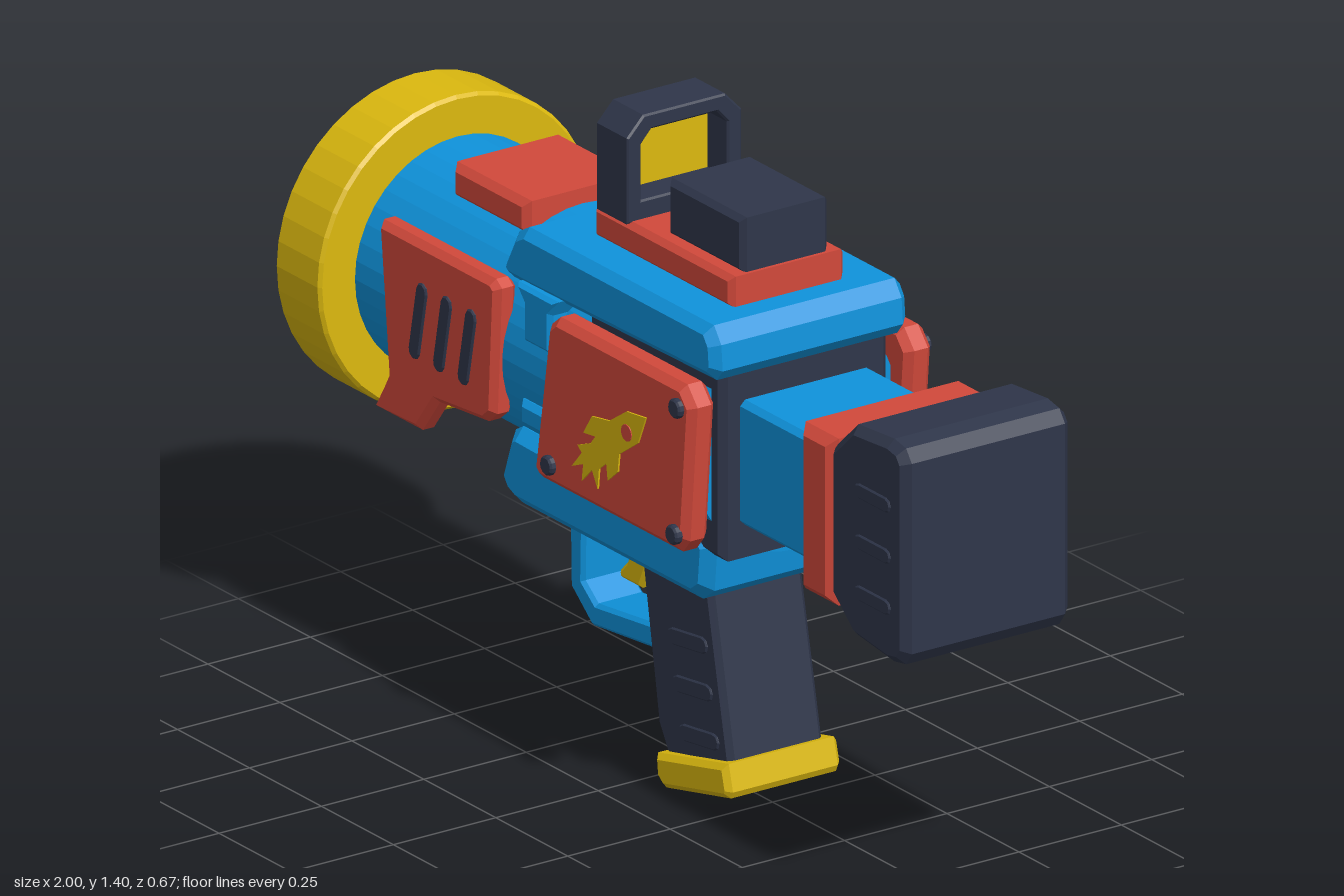
import * as THREE from 'three';

const mat = (name, color) => {
  const m = new THREE.MeshStandardMaterial({ color, flatShading: true });
  m.name = name;
  return m;
};

export function createModel() {
  const blue = mat('blue', 0x0f93dc);
  const red = mat('red', 0xd2493b);
  const yellow = mat('yellow', 0xdcb90f);
  const dark = mat('dark slate', 0x2f364a);
  const model = new THREE.Group();
  model.name = 'toyLauncher';
  const AXIS = 0.822; // height of the barrel axis

  const add = (name, geometry, material) => {
    const mesh = new THREE.Mesh(geometry, material);
    mesh.name = name;
    model.add(mesh);
    return mesh;
  };
  const toShape = pts => new THREE.Shape(pts.map(p => new THREE.Vector2(p[0], p[1])));

  // Side profile (x, y) extruded from z0 to z1 with chamfered edges kept inside the outline
  const slab = (name, pts, z0, z1, material, bevel = 0.015, hole) => {
    const shape = toShape(pts);
    if (hole) shape.holes.push(new THREE.Path(hole.map(p => new THREE.Vector2(p[0], p[1]))));
    const g = new THREE.ExtrudeGeometry(shape, {
      depth: z1 - z0 - 2 * bevel, bevelEnabled: bevel > 0, bevelThickness: bevel,
      bevelSize: bevel, bevelOffset: -bevel, bevelSegments: 1, curveSegments: 8,
    });
    g.translate(0, 0, z0 + bevel);
    return add(name, g, material);
  };
  // The same slab on the left and right faces
  const pair = (name, pts, z0, z1, material, bevel) => {
    slab(name + 'Front', pts, z0, z1, material, bevel);
    slab(name + 'Back', pts, -z1, -z0, material, bevel);
  };
  const rect = (x0, x1, y0, y1) => [[x0, y0], [x1, y0], [x1, y1], [x0, y1]];
  const block = (name, x0, x1, y0, y1, hz, material, bevel = 0.015) =>
    slab(name, rect(x0, x1, y0, y1), -hz, hz, material, bevel);
  // Rounded slot outline around a centre, turned by an angle
  const slot = (cx, cy, length, width, angle) => {
    const pts = [], r = width / 2, s = length / 2 - r;
    for (let i = 0; i < 10; i++) {
      const side = i < 5 ? 1 : -1;
      const a = -Math.PI / 2 + (i < 5 ? i : i - 1) * Math.PI / 4;
      const x = side * s + r * Math.cos(a), y = r * Math.sin(a);
      pts.push([cx + x * Math.cos(angle) - y * Math.sin(angle), cy + x * Math.sin(angle) + y * Math.cos(angle)]);
    }
    return pts;
  };
  const disc = (cx, cy, r, n = 12) => Array.from({ length: n }, (_, i) =>
    [cx + r * Math.cos(i * 2 * Math.PI / n), cy + r * Math.sin(i * 2 * Math.PI / n)]);
  // Turned part along the barrel; profile is (radius, distance toward the muzzle)
  const turned = (name, pts, material) => {
    const mesh = add(name, new THREE.LatheGeometry(pts.map(p => new THREE.Vector2(p[0], p[1])), 40), material);
    mesh.rotation.z = Math.PI / 2;
    mesh.position.y = AXIS;
  };

  // Barrel, muzzle ring and bore
  turned('barrel', [[0, -0.33], [0.25, -0.33], [0.25, 0.86]], blue);
  turned('muzzleRing', [[0.19, 0.845], [0.33, 0.845], [0.337, 0.852], [0.337, 0.993], [0.33, 1],
    [0.197, 1], [0.19, 0.993], [0.19, 0.845]], yellow);
  turned('bore', [[0.19, 0.85], [0.19, 0.7], [0, 0.7]], dark);

  // Receiver
  slab('upperReceiver', [[-0.36, 1.01], [-0.335, 0.99], [-0.26, 0.99], [0.37, 1.0], [0.39, 1.025], [0.385, 1.08],
    [0.36, 1.115], [-0.28, 1.115], [-0.315, 1.095]], -0.24, 0.24, blue, 0.02);
  slab('lowerReceiver', [[-0.41, 0.54], [-0.385, 0.505], [-0.35, 0.49], [0.275, 0.49], [0.315, 0.52], [0.325, 0.62],
    [0.3, 0.64], [-0.35, 0.655], [-0.375, 0.64]], -0.212, 0.212, blue, 0.025);
  block('receiverCore', -0.1, 0.365, 0.6, 1.02, 0.205, dark);
  pair('receiverPost', [[-0.29, 1.0], [-0.265, 0.965], [-0.265, 0.88], [-0.17, 0.88], [-0.17, 0.965], [-0.15, 1.0]],
    0.15, 0.25, blue, 0.01);
  pair('receiverTab', rect(-0.27, -0.15, 0.7, 0.755), 0.15, 0.255, blue, 0.012);

  // Red armour plates
  pair('rearPlate', [[-0.165, 0.655], [-0.145, 0.635], [0.34, 0.635], [0.365, 0.665], [0.39, 0.96], [0.355, 1.0],
    [-0.085, 1.0], [-0.115, 0.975]], 0.232, 0.297, red, 0.016);
  pair('frontPlate', [[-0.76, 0.58], [-0.6, 0.58], [-0.54, 0.66], [-0.37, 0.675], [-0.34, 0.7], [-0.325, 0.975],
    [-0.345, 0.99], [-0.735, 0.99], [-0.74, 0.975], [-0.71, 0.67]], 0.215, 0.27, red, 0.014);
  [-0.595, -0.51, -0.425].forEach((x, i) =>
    pair('vent' + (i + 1), slot(x, 0.82, 0.175, 0.036, 1.38), 0.262, 0.275, dark, 0.003));
  [[0.345, 0.95], [-0.1, 0.68], [0.335, 0.675]].forEach(([x, y], i) =>
    pair('rivet' + (i + 1), disc(x, y, 0.021), 0.29, 0.31, dark, 0.004));

  // Painted rocket picture on each rear plate
  pair('rocketPaint', [[0.237, 0.893], [0.17, 0.885], [0.11, 0.845], [0.05, 0.835], [0.02, 0.79], [0.062, 0.795],
    [0.045, 0.775], [0, 0.757], [0.015, 0.745], [-0.02, 0.705], [0.02, 0.722], [0.015, 0.685], [0.05, 0.72],
    [0.07, 0.685], [0.075, 0.73], [0.1, 0.75], [0.105, 0.715], [0.14, 0.745], [0.145, 0.785], [0.21, 0.83]],
  0.296, 0.301, yellow, 0);
  pair('rocketWindow', disc(0.172, 0.84, 0.018), 0.3, 0.303, red, 0);

  // Shoulder stock
  block('stockTube', 0.3, 0.66, 0.67, 0.94, 0.16, blue, 0.012);
  block('stockCollar', 0.63, 0.745, 0.63, 0.99, 0.206, red, 0.02);
  slab('buttPad', [[0.735, 0.66], [0.815, 0.59], [0.94, 0.575], [0.98, 0.582], [1, 0.61], [1, 1.02], [0.98, 1.047],
    [0.94, 1.055], [0.815, 1.045], [0.735, 0.97]], -0.205, 0.205, dark, 0.018);
  [0.695, 0.805, 0.915].forEach((y, i) =>
    pair('buttRib' + (i + 1), slot(0.89, y, 0.125, 0.032, 0), 0.2, 0.209, dark, 0.003));

  // Top block, rail and sight
  block('topBlock', -0.67, -0.41, 1.03, 1.105, 0.138, red, 0.015);
  block('sightRail', -0.175, 0.305, 1.11, 1.18, 0.14, red, 0.012);
  block('sightBody', 0.035, 0.297, 1.175, 1.297, 0.107, dark, 0.012);
  const frame = slab('sightFrame', [[-0.14, 1.175], [0.14, 1.175], [0.14, 1.36], [0.1, 1.402], [-0.1, 1.402], [-0.14, 1.36]],
    -0.055, 0.055, dark, 0.004,
    [[-0.105, 1.22], [-0.105, 1.34], [-0.08, 1.368], [0.08, 1.368], [0.105, 1.34], [0.105, 1.22]]);
  frame.rotation.y = Math.PI / 2;
  frame.position.x = -0.11;
  block('sightLens', -0.135, -0.125, 1.21, 1.37, 0.106, yellow, 0);

  // Grip with ribs and base cap
  slab('grip', [[-0.055, 0.51], [0.01, 0.12], [0.045, 0.06], [0.27, 0.1], [0.185, 0.51]], -0.115, 0.115, dark, 0.012);
  [[0.12, 0.332], [0.137, 0.235], [0.16, 0.137]].forEach(([x, y], i) =>
    pair('gripRib' + (i + 1), slot(x, y, 0.14, 0.036, 0.13), 0.11, 0.119, dark, 0.003));
  slab('gripCap', [[0.035, 0.066], [0.04, 0.02], [0.065, 0], [0.288, 0.05], [0.295, 0.065], [0.28, 0.122]],
    -0.14, 0.14, yellow, 0.012);

  // Trigger and guard
  slab('trigger', [[-0.19, 0.51], [-0.19, 0.41], [-0.205, 0.375], [-0.23, 0.35], [-0.225, 0.335], [-0.155, 0.335],
    [-0.125, 0.4], [-0.105, 0.51]], -0.04, 0.04, yellow, 0.008);
  slab('triggerGuard', [[-0.375, 0.52], [-0.37, 0.275], [-0.295, 0.213], [-0.045, 0.238], [-0.02, 0.3], [0, 0.52],
    [-0.055, 0.52], [-0.04, 0.41], [-0.08, 0.288], [-0.28, 0.265], [-0.325, 0.3], [-0.32, 0.52]],
  -0.06, 0.06, blue, 0.008);

  return model;
}
